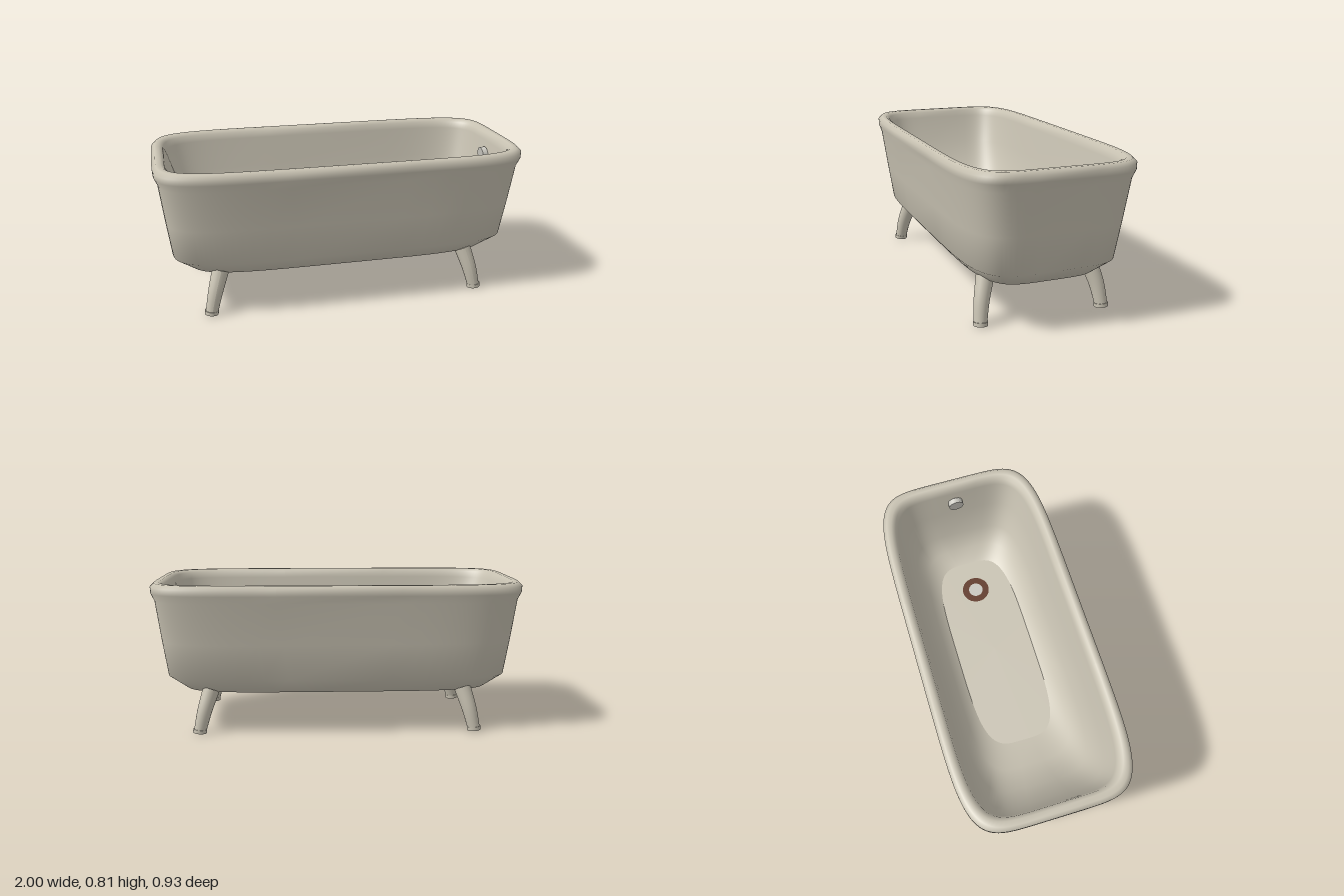
import * as THREE from 'three';

const SEG = 96;

// Skin through rounded-rectangle rings: [y, centreX, halfX, halfZ, exponent]
function loft(levels) {
  const pos = [], idx = [];
  const power = (v, n) => Math.sign(v) * Math.pow(Math.abs(v), 2 / n);
  levels.forEach(([y, cx, a, b, n], i) => {
    for (let j = 0; j < SEG; j++) {
      const t = ((j + 0.5) / SEG) * Math.PI * 2;
      pos.push(cx + a * power(Math.cos(t), n), y, b * power(Math.sin(t), n));
      if (i === 0) continue;
      const k = (j + 1) % SEG, lo = (i - 1) * SEG, hi = i * SEG;
      idx.push(lo + j, hi + j, lo + k, hi + j, hi + k, lo + k);
    }
  });
  const g = new THREE.BufferGeometry();
  g.setAttribute('position', new THREE.Float32BufferAttribute(pos, 3));
  g.setIndex(idx);
  g.computeVertexNormals();
  return g;
}

// Tapered cylinder bent so that its axis follows a curve
function bentLeg(curve, rTop, rBottom) {
  const g = new THREE.CylinderGeometry(rTop, rBottom, 1, 24, 12);
  const p = g.attributes.position, v = new THREE.Vector3();
  const up = new THREE.Vector3(0, 1, 0), q = new THREE.Quaternion();
  for (let i = 0; i < p.count; i++) {
    v.fromBufferAttribute(p, i);
    const t = v.y + 0.5;
    q.setFromUnitVectors(up, curve.getTangent(t));
    v.setY(0).applyQuaternion(q).add(curve.getPoint(t));
    p.setXYZ(i, v.x, v.y, v.z);
  }
  g.computeVertexNormals();
  return g;
}

export function createModel() {
  const model = new THREE.Group();
  model.name = 'bathtub';
  const enamel = new THREE.MeshStandardMaterial({ color: 0xc9c3b3 });
  enamel.name = 'enamel';
  const metal = new THREE.MeshStandardMaterial({ color: 0xc9c7bf });
  metal.name = 'pale metal';
  const copper = new THREE.MeshStandardMaterial({ color: 0x603826 });
  copper.name = 'dark copper';

  const add = (name, geometry, material, parent = model) => {
    const m = new THREE.Mesh(geometry, material);
    m.name = name;
    parent.add(m);
    return m;
  };

  // Outer wall, rolled rim and inner wall in one smooth skin
  const bottom = [0.225, 0, 0.84, 0.33, 4.8];
  const floor = [0.275, 0.13, 0.59, 0.225, 4];
  add('tubShell', loft([
    bottom,
    [0.305, 0, 0.93, 0.4, 5.4],
    [0.5, 0, 0.955, 0.425, 5.7],
    [0.72, 0, 0.98, 0.452, 6],
    [0.762, 0, 0.998, 0.466, 6],
    [0.795, 0, 1, 0.466, 6],
    [0.815, 0, 0.98, 0.447, 6],
    [0.815, 0, 0.955, 0.424, 6],
    [0.8, 0, 0.935, 0.404, 6],
    [0.765, 0, 0.925, 0.396, 6],
    [0.6, 0.02, 0.885, 0.372, 5.7],
    [0.42, 0.055, 0.81, 0.335, 5.2],
    [0.32, 0.095, 0.71, 0.285, 4.6],
    floor,
  ]), enamel);
  add('tubUnderside', loft([[0.225, 0, 0, 0, 4], bottom]), enamel);
  add('tubFloor', loft([floor, [0.275, 0.13, 0, 0, 4]]), enamel);

  // Drain: dark ring around a pale plug
  const drain = new THREE.Group();
  drain.name = 'drain';
  drain.position.set(0.53, 0.279, 0);
  drain.rotation.x = -Math.PI / 2;
  model.add(drain);
  add('drainRing', new THREE.RingGeometry(0.042, 0.08, 32), copper, drain);
  add('drainPlug', new THREE.CircleGeometry(0.042, 32), metal, drain);

  // Overflow cap on the inner end wall
  const overflow = add('overflowCap', new THREE.CylinderGeometry(0.042, 0.042, 0.03, 28), metal);
  overflow.position.set(0.903, 0.69, 0);
  overflow.rotation.z = Math.PI / 2 + 0.08;

  // Four splayed legs, each with a small foot
  for (const sx of [1, -1]) for (const sz of [1, -1]) {
    const leg = new THREE.Group();
    leg.name = (sz > 0 ? 'front' : 'back') + (sx > 0 ? 'Left' : 'Right') + 'Leg';
    model.add(leg);
    const path = new THREE.CatmullRomCurve3([
      [0.748, 0.012, 0.334], [0.722, 0.12, 0.318], [0.686, 0.235, 0.286],
    ].map(([x, y, z]) => new THREE.Vector3(sx * x, y, sz * z)));
    add('legPost', bentLeg(path, 0.046, 0.033), enamel, leg);
    const foot = add('foot', new THREE.CylinderGeometry(0.037, 0.037, 0.02, 24), enamel, leg);
    foot.position.set(sx * 0.748, 0.0145, sz * 0.333);
    foot.rotation.set(-sz * 0.05, 0, sx * 0.1);
  }
  return model;
}
